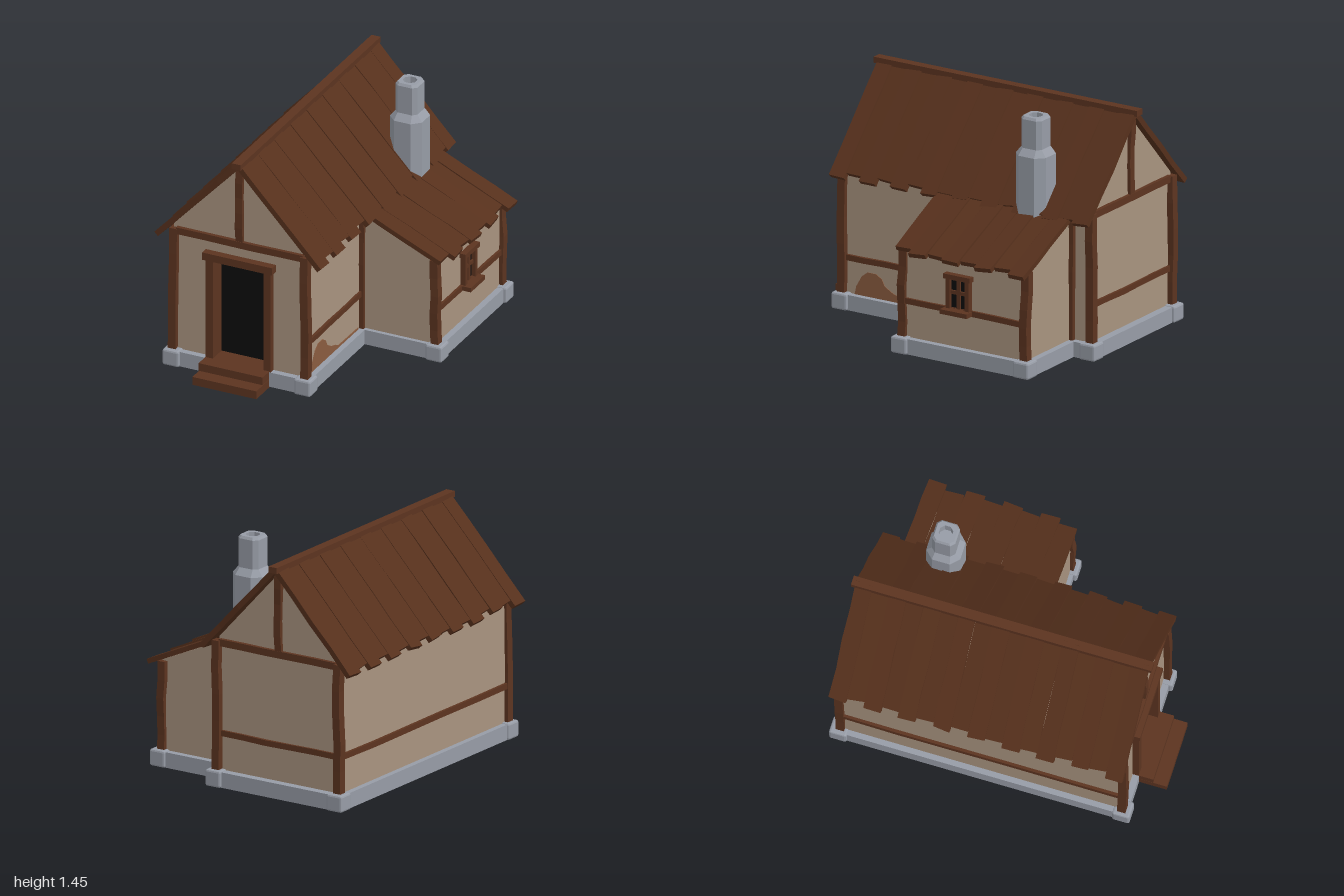
import * as THREE from 'three';
import { RoundedBoxGeometry } from 'three/addons/geometries/RoundedBoxGeometry.js';

const mat = (color, side = THREE.FrontSide) =>
  new THREE.MeshStandardMaterial({ color, flatShading: true, side });

export function createModel() {
  const root = new THREE.Group();
  const wood = mat(0x5c3420), roofWood = mat(0x56301c), plaster = mat(0xa8937f);
  const stone = mat(0x979ca6), dark = mat(0x0c0c0c), brick = mat(0x8a5c40, THREE.DoubleSide);

  let seed = 7;
  const rnd = (a) => {
    seed = (seed * 16807) % 2147483647;
    return (seed / 2147483647 * 2 - 1) * a;
  };
  const add = (name, geo, material, x = 0, y = 0, z = 0, parent = root) => {
    const m = new THREE.Mesh(geo, material);
    m.name = name;
    m.position.set(x, y, z);
    parent.add(m);
    return m;
  };
  // box given by its min and max corners
  const box = (name, material, [x0, x1], [y0, y1], [z0, z1]) =>
    add(name, new THREE.BoxGeometry(x1 - x0, y1 - y0, z1 - z0), material,
      (x0 + x1) / 2, (y0 + y1) / 2, (z0 + z1) / 2);

  // hand-hewn timber: cross-sections along the longest side are nudged
  const timber = (name, xr, yr, zr, wobble = 0.006) => {
    const size = [xr, yr, zr].map(([a, b]) => b - a);
    const axis = size.indexOf(Math.max(...size));
    const seg = [1, 1, 1];
    seg[axis] = 5;
    const geo = new THREE.BoxGeometry(...size, ...seg);
    const shift = Array.from({ length: 6 }, () => [rnd(wobble), rnd(wobble), rnd(wobble)]);
    const p = geo.attributes.position;
    for (let i = 0; i < p.count; i++) {
      const k = Math.round((p.getComponent(i, axis) / size[axis] + 0.5) * 5);
      for (let c = 0; c < 3; c++)
        if (c !== axis) p.setComponent(i, c, p.getComponent(i, c) + shift[k][c]);
    }
    add(name, geo, wood, ...[xr, yr, zr].map(([a, b]) => (a + b) / 2));
  };
  const poly = (pts) => new THREE.Shape(pts.map(([x, y]) => new THREE.Vector2(x, y)));
  const extrude = (shape, depth) =>
    new THREE.ExtrudeGeometry(shape, { depth, bevelEnabled: false });

  // L-shaped stone base
  const base = extrude(poly([[-0.7, -0.83], [0.24, -0.83], [0.24, -0.09], [0.735, -0.09],
    [0.735, 0.84], [0.24, 0.84], [0.24, 0.98], [-0.7, 0.98]]), 0.095);
  base.rotateX(-Math.PI / 2);
  add('foundation', base, stone, 0, 0.005, 0);

  // Plaster walls; the front one has the door opening
  const gable = () => poly([[-0.665, 0.09], [0.2, 0.09], [0.2, 0.92], [-0.2275, 1.385], [-0.665, 0.92]]);
  add('mainWalls', extrude(gable(), 1.63), plaster, 0, 0, -0.93);
  const front = gable();
  front.holes.push(new THREE.Path([[-0.4, 0.1], [-0.4, 0.76], [-0.05, 0.76], [-0.05, 0.1]]
    .map(([x, y]) => new THREE.Vector2(x, y))));
  add('frontWall', extrude(front, 0.09), plaster, 0, 0, 0.7);
  add('annexWalls', extrude(poly([[0.1, 0.09], [0.695, 0.09], [0.695, 0.655], [0.2, 0.877], [0.1, 0.877]]), 0.865),
    plaster, 0, 0, -0.8);

  // Bare patch where the plaster has fallen off
  const patch = extrude(poly([[-0.72, 0.1], [-0.71, 0.15], [-0.67, 0.22], [-0.63, 0.25], [-0.57, 0.25],
    [-0.53, 0.225], [-0.51, 0.185], [-0.45, 0.15], [-0.4, 0.135], [-0.36, 0.115], [-0.1, 0.112], [-0.1, 0.1]]), 0.005);
  patch.rotateY(Math.PI / 2);
  add('barePatch', patch, brick, 0.199, 0, 0);

  // Corner posts on stone blocks
  const corners = [[-0.66, 0.798, 0.9], [0.205, 0.798, 0.9], [-0.66, -0.943, 0.9],
    [0.205, -0.943, 0.9], [0.692, 0.058, 0.65], [0.692, -0.8, 0.65]];
  for (const [x, z, top] of corners) {
    timber('cornerPost', [x - 0.025, x + 0.025], [0.08, top], [z - 0.026, z + 0.026]);
    add('cornerStone', new RoundedBoxGeometry(0.108, 0.103, 0.108, 1, 0.012), stone,
      x + (x > 0.5 ? 0.008 : 0), 0.055, z);
  }
  for (const z of [0.06, -0.8])
    timber('junctionPost', [0.182, 0.23], [0, 0.87], [z - 0.026, z + 0.026], 0.003);

  // Gable framing, front and back
  for (const z of [0.793, -0.933]) {
    timber('tieBeam', [-0.64, 0.19], [0.865, 0.908], [z - 0.02, z + 0.02], 0.003);
    timber('kingPost', [-0.252, -0.205], [0.9, 1.39], [z - 0.02, z + 0.02], 0.004);
  }

  // Middle rails
  const rail = [0.308, 0.343];
  timber('leftRail', [-0.682, -0.645], rail, [-0.93, 0.79], 0.003);
  timber('rightRail', [0.18, 0.217], rail, [0.07, 0.79], 0.003);
  timber('annexRail', [0.675, 0.711], rail, [-0.79, 0.05], 0.003);
  timber('backRail', [-0.65, 0.2], rail, [-0.947, -0.91], 0.003);

  // Doorway and steps
  box('doorway', dark, [-0.4, -0.05], [0.1, 0.76], [0.69, 0.712]);
  for (const x of [-0.415, -0.035])
    box('doorJamb', wood, [x - 0.024, x + 0.024], [0.1, 0.755], [0.71, 0.828]);
  box('doorLintel', wood, [-0.456, 0.004], [0.75, 0.798], [0.74, 0.84]);
  box('upperStep', wood, [-0.44, -0.02], [0.055, 0.105], [0.705, 0.917]);
  box('lowerStep', wood, [-0.44, -0.02], [0, 0.052], [0.82, 1]);

  // Side window
  const wz = -0.34;
  box('windowPane', dark, [0.68, 0.702], [0.34, 0.53], [wz - 0.07, wz + 0.07]);
  for (const s of [-1, 1])
    box('windowJamb', wood, [0.68, 0.728], [0.33, 0.53], [wz + s * 0.068 - 0.014, wz + s * 0.068 + 0.014]);
  box('windowLintel', wood, [0.68, 0.736], [0.525, 0.555], [wz - 0.094, wz + 0.094]);
  box('windowSill', wood, [0.68, 0.77], [0.314, 0.342], [wz - 0.094, wz + 0.094]);
  box('windowMullion', wood, [0.69, 0.715], [0.34, 0.53], [wz - 0.011, wz + 0.011]);
  box('windowBar', wood, [0.69, 0.714], [0.43, 0.452], [wz - 0.06, wz + 0.06]);

  // Roof slopes: boards of uneven length, slightly tilted, running down local +x
  const slope = (name, count, length, thick, z0, z1) => {
    const g = new THREE.Group();
    g.name = name;
    const pitch = (z1 - z0) / count;
    for (let i = 0; i < count; i++) {
      const len = length - (i % 2 ? 0.028 : 0) + rnd(0.008);
      const geo = new THREE.BoxGeometry(len, thick, pitch - 0.001, 4, 1, 1);
      geo.translate(len / 2, -thick / 2, 0);
      const p = geo.attributes.position;
      const edge = Array.from({ length: 10 }, () => rnd(0.004));
      for (let v = 0; v < p.count; v++) {
        const k = Math.round(p.getX(v) / len * 4), side = p.getZ(v) > 0 ? 5 : 0;
        p.setZ(v, p.getZ(v) + edge[k + side]);
        if (k === 4) p.setX(v, p.getX(v) + edge[side] * 2);
      }
      const b = add('roofBoard', geo, roofWood, 0, i % 2 ? -0.004 : 0.002, z0 + pitch * (i + 0.5), g);
      b.rotation.x = 0.03 + rnd(0.04);
    }
    root.add(g);
    return g;
  };
  const pitchAngle = Math.atan(1.065);
  for (const s of [1, -1]) {
    const g = slope(s > 0 ? 'roofLeftSide' : 'roofRightSide', 17, 0.79, 0.034, -0.98, 0.828);
    g.position.set(-0.2275, 1.435, 0);
    g.rotation.z = -pitchAngle;
    if (s < 0) {
      // half turn mirrors the slope; shift restores the uneven front and back overhang
      g.rotation.set(0, Math.PI, -pitchAngle);
      g.position.z = -0.152;
    }
  }
  const annexRoof = slope('annexRoof', 8, 0.63, 0.03, -0.84, 0.09);
  annexRoof.position.set(0.2, 0.91, 0);
  annexRoof.rotation.z = -Math.atan(0.45);
  box('ridgeBeam', wood, [-0.257, -0.198], [1.4, 1.437], [-1, 0.848]);

  // Chimney: chamfered square rings, turning inward at the top for the flue
  const rings = [[0.78, 0.105, 0.05], [1.215, 0.105, 0.05], [1.257, 0.072, 0.025], [1.435, 0.072, 0.025],
    [1.45, 0.062, 0.022], [1.45, 0.04, 0.023], [1.38, 0.04, 0.023], [1.38, 0.001, 0.0005]];
  const pos = [], idx = [];
  rings.forEach(([y, h, c], r) => {
    const f = h - c;
    [[h, f], [f, h], [-f, h], [-h, f], [-h, -f], [-f, -h], [f, -h], [h, -f]].forEach(([x, z], i) => {
      pos.push(x, y, z);
      if (r === 0) return;
      const a = (r - 1) * 8 + i, b = (r - 1) * 8 + (i + 1) % 8;
      idx.push(a, a + 8, b, b, a + 8, b + 8);
    });
  });
  const chimney = new THREE.BufferGeometry();
  chimney.setAttribute('position', new THREE.Float32BufferAttribute(pos, 3));
  chimney.setIndex(idx);
  chimney.computeVertexNormals();
  add('chimney', chimney, stone, 0.215, 0, -0.56);

  return root;
}
